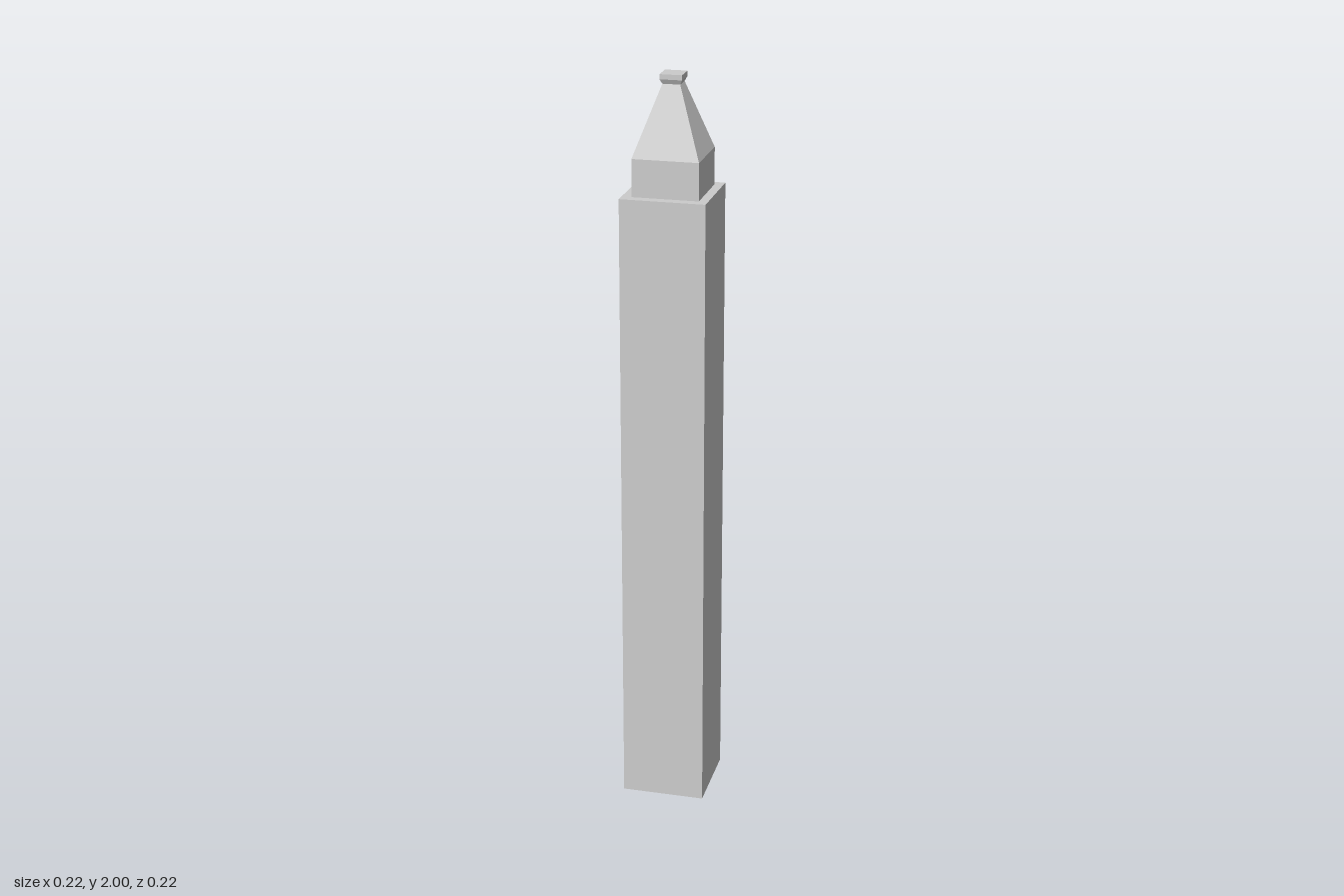
import * as THREE from 'three';

const material = new THREE.MeshStandardMaterial({
  color: 0xcccccc, flatShading: true, side: THREE.DoubleSide,
});

// Square tower section: profile rows are [half width, height], bottom to top
function squareLoft(name, profile) {
  const points = profile.map(([half, y]) => new THREE.Vector2(half * Math.SQRT2, y));
  const geometry = new THREE.LatheGeometry(points, 4, Math.PI / 4).toNonIndexed();
  geometry.computeVertexNormals();
  const mesh = new THREE.Mesh(geometry, material);
  mesh.name = name;
  return mesh;
}

export function createModel() {
  const model = new THREE.Group();
  model.name = 'obelisk';

  // Tall shaft, open underneath, closed by a flat ledge
  const shaft = squareLoft('shaft', [[0.112, 0], [0.112, 1.697], [0, 1.697]]);

  // Upper block, tapering spire and flared finial, set very slightly off centre
  const top = new THREE.Group();
  top.name = 'top';
  top.position.set(0.0015, 0, -0.002);
  top.add(
    squareLoft('upperBlock', [[0.087, 1.697], [0.087, 1.795]]),
    squareLoft('spire', [[0.087, 1.795], [0.023, 1.975]]),
    squareLoft('finial', [[0.023, 1.975], [0.029, 1.987], [0.029, 2], [0, 2]]),
  );

  model.add(shaft, top);
  return model;
}
